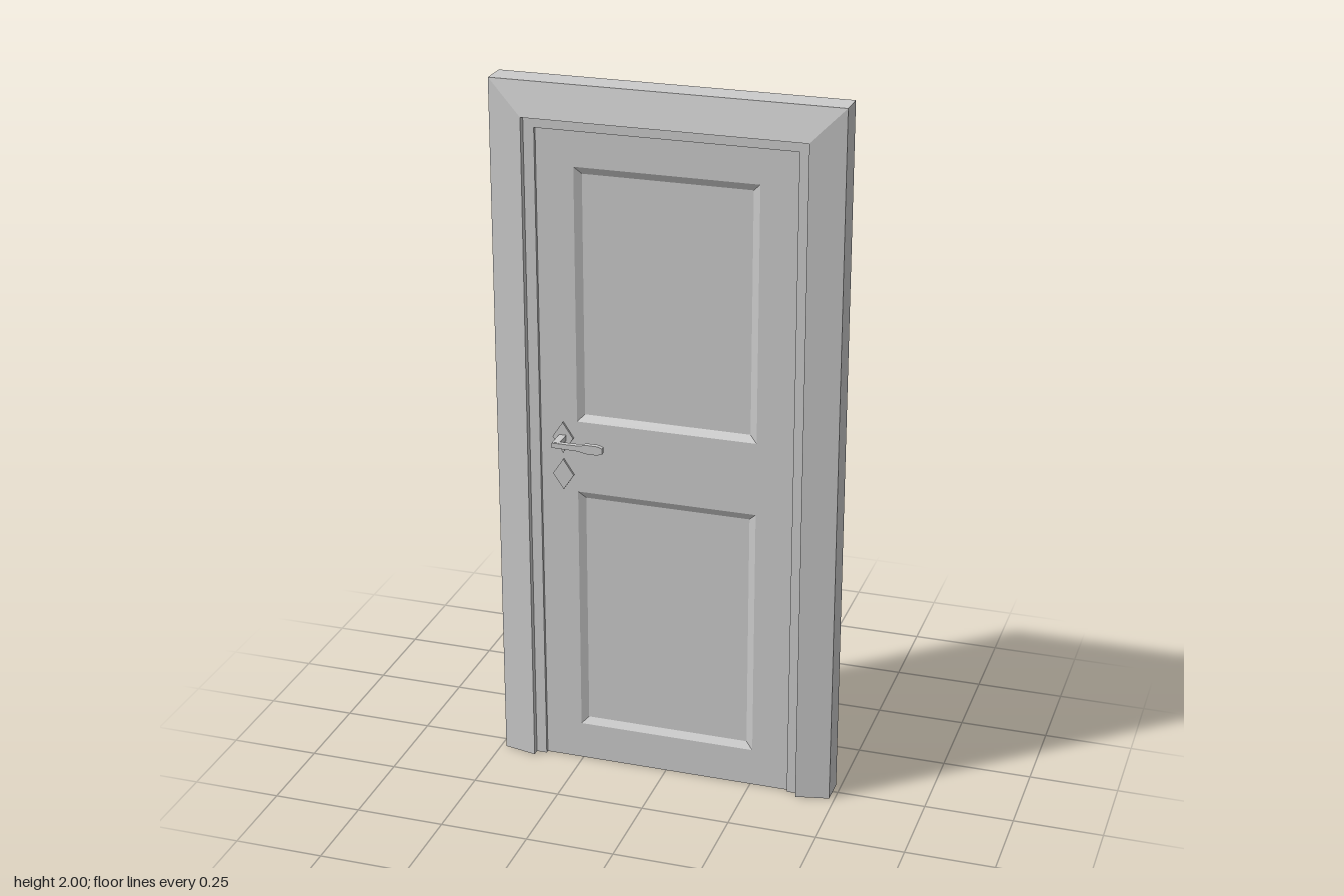
import * as THREE from 'three';

const grey = new THREE.MeshStandardMaterial({ color: 0xcccccc });
grey.name = 'paintedGrey';

// Flat-shaded skin between successive closed rings of [x, y, z] points
function loft(rings) {
  const pos = [];
  for (let i = 0; i < rings.length - 1; i++) {
    const n = rings[i].length;
    for (let j = 0; j < n; j++) {
      const k = (j + 1) % n;
      const a = rings[i][j], b = rings[i][k], c = rings[i + 1][k], d = rings[i + 1][j];
      pos.push(...a, ...b, ...c, ...a, ...c, ...d);
    }
  }
  const g = new THREE.BufferGeometry();
  g.setAttribute('position', new THREE.Float32BufferAttribute(pos, 3));
  g.computeVertexNormals();
  return g;
}

function addMesh(parent, name, geometry, x = 0, y = 0, z = 0) {
  const m = new THREE.Mesh(geometry, grey);
  m.name = name;
  m.position.set(x, y, z);
  parent.add(m);
  return m;
}

const shapeOf = (pts) => new THREE.Shape(pts.map(([x, y]) => new THREE.Vector2(x, y)));

// Extrusion centred on its own depth
function slab(shape, depth) {
  const g = new THREE.ExtrudeGeometry(shape, { depth, bevelEnabled: false });
  return g.translate(0, 0, -depth / 2);
}

const rect = (x, y0, y1) => [[-x, y0], [x, y0], [x, y1], [-x, y1]];

// Door frame: mitred, tapered casing with a stepped reveal
function buildFrame() {
  const frame = new THREE.Group();
  frame.name = 'doorFrame';
  const profile = [
    [0.485, 0.04], [0.39, 0.06], [0.39, 0.04], [0.36, 0.04],
    [0.36, -0.04], [0.39, -0.04], [0.39, -0.06], [0.485, -0.04],
  ];
  const station = (side, top) => profile.map(([w, z]) => [side * w, top ? 1.515 + w : 0, z]);
  addMesh(frame, 'casing', loft([
    station(-1, false), station(-1, true), station(1, true), station(1, false),
  ]));
  // Undersides of both jambs
  for (const side of [-1, 1]) {
    const foot = new THREE.ShapeGeometry(shapeOf(profile)).rotateX(Math.PI / 2);
    if (side < 0) foot.rotateY(Math.PI);
    addMesh(frame, 'jambFoot', foot);
  }
  return frame;
}

// Door leaf with two sunken panels on each face
function buildLeaf() {
  const leaf = new THREE.Group();
  leaf.name = 'doorLeaf';
  const face = 0.03, sunk = 0.02, bevel = 0.02;
  const panels = [[0.11, 0.84], [1.05, 1.775]];
  const outline = shapeOf(rect(0.36, 0, 1.875));
  for (const [y0, y1] of panels) {
    outline.holes.push(new THREE.Path(rect(0.255, y0, y1).map(([x, y]) => new THREE.Vector2(x, y))));
  }
  addMesh(leaf, 'stilesAndRails', slab(outline, face * 2));
  for (const [y0, y1] of panels) {
    const outer = rect(0.255, y0, y1).map(([x, y]) => [x, y, face]);
    const inner = rect(0.255 - bevel, y0 + bevel, y1 - bevel).map(([x, y]) => [x, y, sunk]);
    for (const turn of [0, Math.PI]) {
      addMesh(leaf, 'panelBevel', loft([outer, inner])).rotation.y = turn;
    }
    addMesh(leaf, 'sunkenPanel',
      new THREE.BoxGeometry(2 * (0.255 - bevel), y1 - y0 - 2 * bevel, sunk * 2), 0, (y0 + y1) / 2, 0);
  }
  return leaf;
}

// Lever handle, with diamond plates for the lever and the keyhole
function buildHandle(side) {
  const handle = new THREE.Group();
  handle.name = side > 0 ? 'frontHandle' : 'backHandle';
  const pivot = -0.295;
  const diamond = shapeOf([[-0.03, 0], [0, -0.045], [0.03, 0], [0, 0.045]]);
  addMesh(handle, 'leverPlate', slab(diamond, 0.008), pivot, 1, side * 0.033);
  addMesh(handle, 'keyholePlate', slab(diamond, 0.008), pivot, 0.89, side * 0.033);
  addMesh(handle, 'stem', new THREE.BoxGeometry(0.02, 0.016, 0.064), pivot, 1, side * 0.062);
  const edge = [[-0.305, 0.007], [-0.23, 0.008], [-0.205, 0.013], [-0.175, 0.013], [-0.16, 0.008]];
  const lever = shapeOf([...edge.map(([x, y]) => [x, -y]), ...edge.slice().reverse()]);
  addMesh(handle, 'lever', slab(lever, 0.014), 0, 1, side * 0.091);
  return handle;
}

export function createModel() {
  const door = new THREE.Group();
  door.name = 'door';
  door.add(buildFrame(), buildLeaf(), buildHandle(1), buildHandle(-1));
  return door;
}
